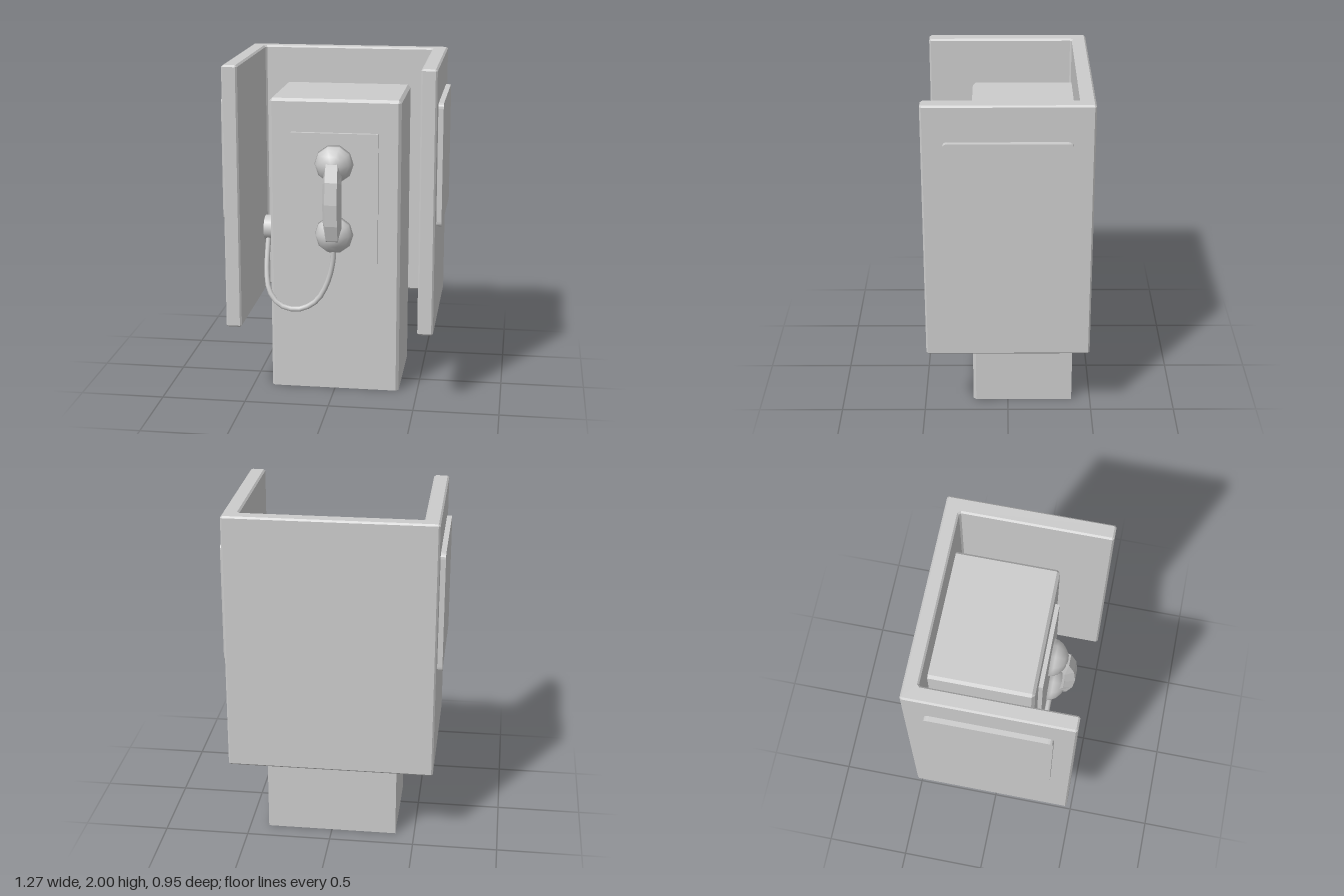
import * as THREE from 'three';

const material = new THREE.MeshStandardMaterial({ color: 0xcccccc });
const flat = new THREE.MeshStandardMaterial({ color: 0xcccccc, flatShading: true, side: THREE.DoubleSide });

// Skin over a stack of equal-length rings (counterclockwise seen from above), with optional caps.
function loft(rings, capBottom, capTop) {
  const pos = [];
  const tri = (...corners) => corners.forEach(p => pos.push(...p));
  const n = rings[0].length;
  for (let i = 0; i + 1 < rings.length; i++) {
    for (let j = 0; j < n; j++) {
      const k = (j + 1) % n, lo = rings[i], hi = rings[i + 1];
      tri(lo[j], lo[k], hi[k]);
      tri(lo[j], hi[k], hi[j]);
    }
  }
  const first = rings[0], last = rings[rings.length - 1];
  for (let j = 1; j + 1 < n; j++) {
    if (capBottom) tri(first[0], first[j + 1], first[j]);
    if (capTop) tri(last[0], last[j], last[j + 1]);
  }
  const geo = new THREE.BufferGeometry();
  geo.setAttribute('position', new THREE.Float32BufferAttribute(pos, 3));
  geo.computeVertexNormals();
  return geo;
}

// U-shaped hood, chamfered on every edge
function hoodGeometry() {
  const c = 0.01, w = 0.607, d = 0.476, wi = 0.516, back = 0.39;
  // half outline in (x, -z), from the middle of the back around to the inner back corner
  const half = [
    [w - c, d], [w, d - c], [w, -d + c], [w - c, -d], [wi + c, -d], [wi, -d + c],
    [wi, back - c], [wi - c, back],
  ];
  const outline = [...half, ...half.map(([x, y]) => [-x, y]).reverse()];
  const shape = new THREE.Shape(outline.map(p => new THREE.Vector2(...p)));
  const geo = new THREE.ExtrudeGeometry(shape, {
    depth: 1.545 - 2 * c, bevelThickness: c, bevelSize: c, bevelOffset: -c, bevelSegments: 1,
  });
  return geo.rotateX(-Math.PI / 2).translate(0, 0.455 + c, 0);
}

// Phone column: open underneath, chamfered along its front, side and top edges
function columnGeometry() {
  const w = 0.387, front = 0.21, back = -0.387, c = 0.017;
  const ring = (y, s, k) => [
    [w - s - k, y, front - s], [w - s, y, front - s - k], [w - s, y, back],
    [-w + s, y, back], [-w + s, y, front - s - k], [-w + s + k, y, front - s],
  ];
  return loft([ring(0, 0, c), ring(1.758, 0, c), ring(1.775, c, 0.001)], false, true);
}

// Rounded rectangular side panel, standing in the yz plane
function panelGeometry() {
  const a = 0.358, b = 0.358, r = 0.03;
  const s = new THREE.Shape();
  s.moveTo(-a + r, -b).lineTo(a - r, -b).quadraticCurveTo(a, -b, a, -b + r);
  s.lineTo(a, b - r).quadraticCurveTo(a, b, a - r, b);
  s.lineTo(-a + r, b).quadraticCurveTo(-a, b, -a, b - r);
  s.lineTo(-a, -b + r).quadraticCurveTo(-a, -b, -a + r, -b);
  const geo = new THREE.ExtrudeGeometry(s, { depth: 0.06, bevelEnabled: false, curveSegments: 4 });
  return geo.translate(0, 0, -0.03).rotateY(Math.PI / 2);
}

// Arched grip with a trapezoid section: half widths, front (y, z) and back (y, z) of each ring
function gripGeometry() {
  const rows = [
    [0.034, 0.040, 0.935, 0.30, 1.00, 0.26],
    [0.035, 0.052, 0.965, 0.35, 1.03, 0.31],
    [0.036, 0.056, 1.06, 0.383, 1.08, 0.33],
    [0.036, 0.056, 1.19, 0.395, 1.19, 0.34],
    [0.036, 0.056, 1.32, 0.383, 1.30, 0.33],
    [0.035, 0.052, 1.41, 0.35, 1.345, 0.31],
    [0.034, 0.040, 1.44, 0.30, 1.375, 0.26],
  ];
  return loft(rows.map(([f, b, fy, fz, by, bz]) => [
    [f, fy, fz], [b, by, bz], [-b, by, bz], [-f, fy, fz],
  ]), true, true);
}

export function createModel() {
  const model = new THREE.Group();
  const add = (name, geometry, parent = model, mat = material) => {
    const mesh = new THREE.Mesh(geometry, mat);
    mesh.name = name;
    parent.add(mesh);
    return mesh;
  };

  add('hood', hoodGeometry(), model, flat);
  add('phoneColumn', columnGeometry(), model, flat);
  add('facePlate', new THREE.BoxGeometry(0.514, 0.78, 0.05).translate(0, 1.19, 0.21));

  for (const [name, side] of [['leftPanel', 1], ['rightPanel', -1]]) {
    add(name, panelGeometry()).position.set(side * 0.607, 1.433, 0);
  }

  // Handset: two ten-sided domed cups joined by the grip
  const handset = new THREE.Group();
  handset.name = 'handset';
  model.add(handset);
  const profile = [[0, 0], [0.115, 0], [0.109, 0.025], [0.093, 0.053], [0.06, 0.08], [0.03, 0.095], [0, 0.1]]
    .map(p => new THREE.Vector2(...p));
  for (const [name, y] of [['earpiece', 1.402], ['mouthpiece', 0.978]]) {
    const cup = new THREE.LatheGeometry(profile, 10, Math.PI / 2).rotateX(Math.PI / 2);
    add(name, cup, handset).position.set(0, y, 0.242);
  }
  add('grip', gripGeometry(), handset, flat);

  // Cord from the mouthpiece round to the socket on the column's side
  const path = new THREE.CatmullRomCurve3([
    [0, 0.9, 0.262], [-0.005, 0.82, 0.255], [-0.04, 0.68, 0.248], [-0.11, 0.56, 0.245],
    [-0.22, 0.503, 0.24], [-0.33, 0.525, 0.237], [-0.395, 0.6, 0.215], [-0.418, 0.7, 0.175],
    [-0.422, 0.82, 0.125], [-0.42, 0.93, 0.08],
  ].map(p => new THREE.Vector3(...p)));
  add('cord', new THREE.TubeGeometry(path, 20, 0.016, 8));
  const socket = new THREE.CylinderGeometry(0.074, 0.074, 0.065, 20).rotateZ(Math.PI / 2);
  add('cordSocket', socket).position.set(-0.412, 0.958, 0.057);

  return model;
}
